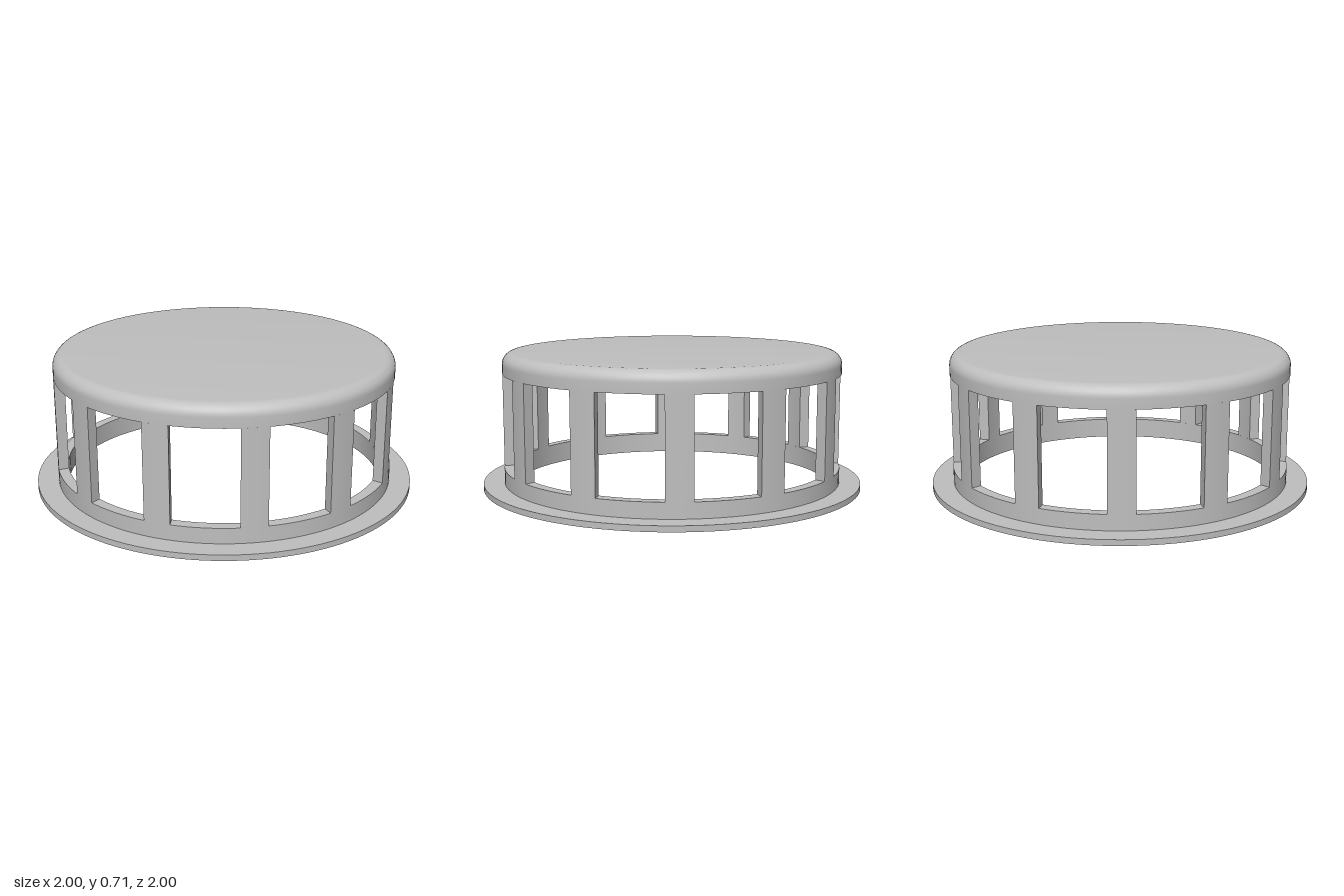
import * as THREE from 'three';
import { toCreasedNormals } from 'three/addons/utils/BufferGeometryUtils.js';

const OUTER = 0.89, INNER = 0.835;      // wall radii
const SILL = 0.11, LINTEL = 0.605;      // window bottom and top
const HEIGHT = 0.715, CEILING = 0.665, FILLET = 0.06;
const WINDOWS = 12, HALF_WINDOW = 0.165;
const SEGMENTS = 120;

export function createModel() {
  const group = new THREE.Group();
  const grey = new THREE.MeshStandardMaterial({ color: 0xbfbfbf });
  grey.name = 'light grey';

  const add = (name, geometry) => {
    const mesh = new THREE.Mesh(toCreasedNormals(geometry, 0.5), grey);
    mesh.name = name;
    group.add(mesh);
    return mesh;
  };
  const turned = (name, points) =>
    add(name, new THREE.LatheGeometry(points.map(([x, y]) => new THREE.Vector2(x, y)), SEGMENTS));

  // flange and lower rim in one turned profile
  turned('flangeAndLowerRim', [
    [INNER, 0], [1, 0], [1, 0.03], [OUTER, 0.03], [OUTER, SILL], [INNER, SILL], [INNER, 0],
  ]);

  // cap with a rounded shoulder and a recessed ceiling
  const shoulder = [];
  for (let i = 0; i <= 10; i++) {
    const a = (i / 10) * Math.PI / 2;
    shoulder.push([OUTER - FILLET + FILLET * Math.cos(a), HEIGHT - FILLET + FILLET * Math.sin(a)]);
  }
  turned('cap', [
    [0, CEILING], [INNER, CEILING], [INNER, LINTEL], [OUTER, LINTEL], ...shoulder, [0, HEIGHT],
  ]);

  // pillars left between parallel-sided windows
  const step = (Math.PI * 2) / WINDOWS;
  const outerEdge = Math.asin(HALF_WINDOW / OUTER);
  const innerEdge = Math.asin(HALF_WINDOW / INNER);
  const section = new THREE.Shape();
  section.absarc(0, 0, OUTER, outerEdge, step - outerEdge, false);
  section.absarc(0, 0, INNER, step - innerEdge, innerEdge, true);
  section.closePath();
  const pillar = new THREE.ExtrudeGeometry(section, {
    depth: LINTEL - SILL, bevelEnabled: false, curveSegments: 6,
  });
  pillar.rotateX(-Math.PI / 2);
  pillar.translate(0, SILL, 0);
  for (let i = 0; i < WINDOWS; i++) {
    add('pillar' + (i + 1), pillar).rotation.y = i * step;
  }

  return group;
}
